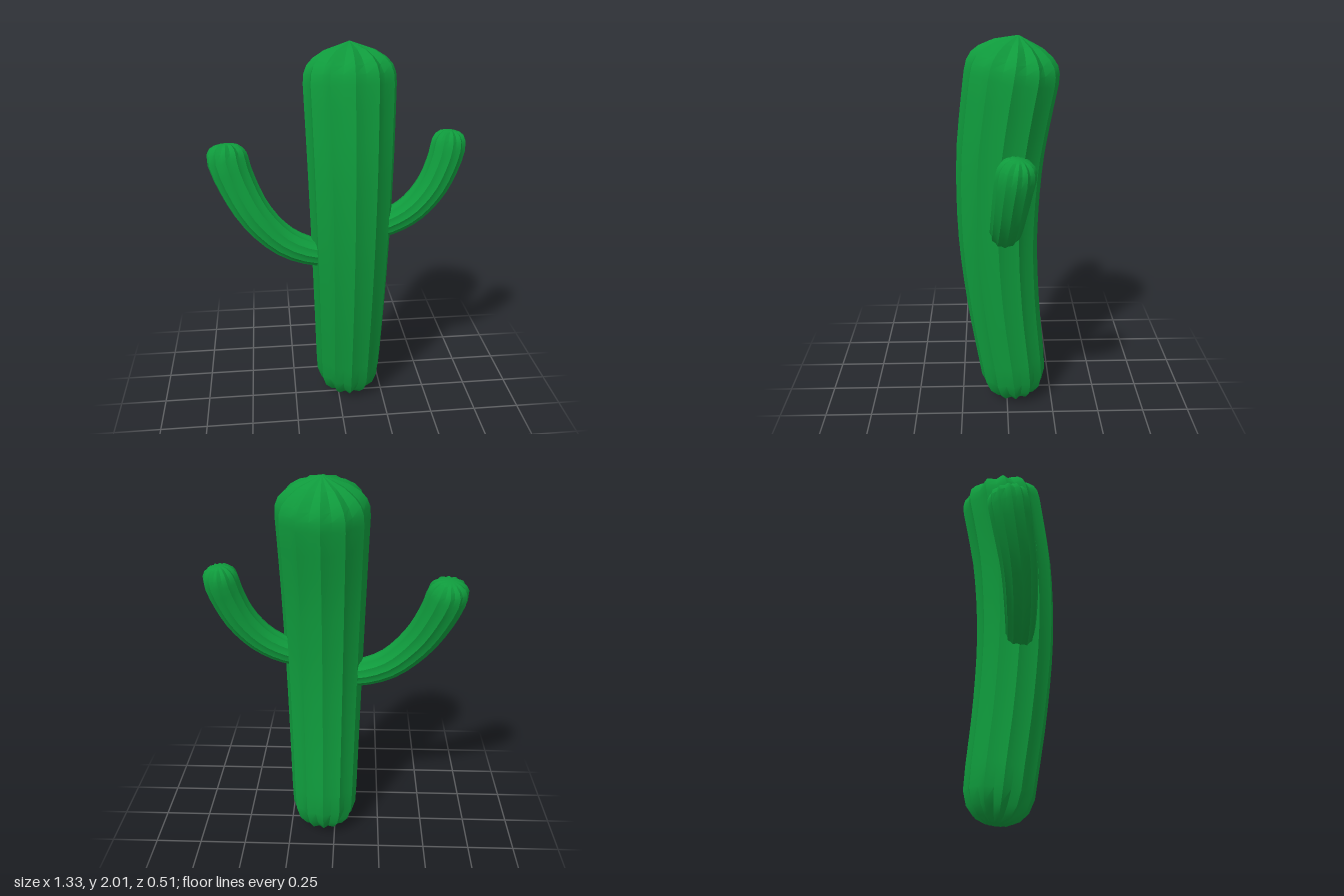
import * as THREE from 'three';
import { toCreasedNormals } from 'three/addons/utils/BufferGeometryUtils.js';

const RIBS = 12;

// Sweeps a ribbed star section along a curve.
// Each station is [fraction of length, ridge radius, groove depth factor].
function ribbedStem(points, stations) {
  const curve = new THREE.CatmullRomCurve3(points.map(p => new THREE.Vector3(...p)));
  const forward = new THREE.Vector3(0, 0, 1);
  const sides = RIBS * 2;
  const positions = [];
  const index = [];
  for (const [u, radius, groove] of stations) {
    const centre = curve.getPointAt(u);
    const tangent = curve.getTangentAt(u);
    const b = new THREE.Vector3().crossVectors(forward, tangent).normalize();
    const n = new THREE.Vector3().crossVectors(b, tangent);
    for (let j = 0; j < sides; j++) {
      const angle = (j / sides) * Math.PI * 2;
      const r = j % 2 ? radius * groove : radius;
      const p = centre.clone()
        .addScaledVector(n, Math.cos(angle) * r)
        .addScaledVector(b, Math.sin(angle) * r);
      positions.push(p.x, p.y, p.z);
    }
  }
  for (let i = 0; i < stations.length - 1; i++) {
    for (let j = 0; j < sides; j++) {
      const k = (j + 1) % sides;
      const a = i * sides + j, c = i * sides + k;
      const d = a + sides, e = c + sides;
      // a pointed end needs only one triangle per side
      if (stations[i][1] > 0) index.push(a, c, e);
      if (stations[i + 1][1] > 0) index.push(a, e, d);
    }
  }
  // points with zero radius close the ends
  if (stations[stations.length - 1][1] === 0) {
    const i = stations.length - 2;
    const kept = index.slice(0, index.length - sides * 3);
    for (let j = 0; j < sides; j++) {
      const k = (j + 1) % sides;
      kept.push(i * sides + j, i * sides + k, (i + 1) * sides + j);
    }
    index.length = 0;
    index.push(...kept);
  }
  const geometry = new THREE.BufferGeometry();
  geometry.setAttribute('position', new THREE.Float32BufferAttribute(positions, 3));
  geometry.setIndex(index);
  return toCreasedNormals(geometry, 0.6);
}

// Arm stations: straight body that widens, then a rounded ribbed tip
function armStations(baseRadius, tipRadius, length) {
  const stations = [[0, 0, 1], [0, baseRadius, 0.91]];
  const bodyEnd = 1 - 0.09 / length;
  const steps = 12;
  for (let i = 1; i <= steps; i++) {
    const t = i / steps;
    stations.push([bodyEnd * t, THREE.MathUtils.lerp(baseRadius, tipRadius, t), 0.91]);
  }
  const cap = [[0.05, 0.95, 0.88], [0.025, 0.8, 0.83], [0.008, 0.55, 0.78], [0.002, 0.3, 0.78], [0, 0, 1]];
  for (const [back, scale, groove] of cap) {
    stations.push([1 - back / length, tipRadius * scale, groove]);
  }
  return stations;
}

export function createModel() {
  const group = new THREE.Group();
  const green = new THREE.MeshStandardMaterial({ color: 0x0f9a3c });
  green.name = 'cactus green';

  const add = (name, geometry) => {
    const mesh = new THREE.Mesh(geometry, green);
    mesh.name = name;
    group.add(mesh);
  };

  // Trunk: bowed forward in the middle, wider towards the top
  const trunkStations = [
    [0, 0, 1], [0, 0.06, 0.8], [0.012, 0.115, 0.78], [0.035, 0.155, 0.82], [0.07, 0.178, 0.9],
  ];
  for (let i = 1; i <= 14; i++) {
    const t = i / 14;
    trunkStations.push([0.07 + 0.83 * t, 0.18 + 0.052 * t, 0.91]);
  }
  trunkStations.push(
    [0.925, 0.228, 0.9], [0.945, 0.212, 0.86], [0.962, 0.18, 0.82], [0.979, 0.125, 0.8], [1, 0, 1],
  );
  add('trunk', ribbedStem([
    [0.06, 0, -0.05], [0.06, 0.2, -0.03], [0.06, 0.6, 0.02], [0.06, 1.0, 0.047],
    [0.06, 1.4, 0.035], [0.06, 1.6, 0.01], [0.06, 1.8, -0.022], [0.06, 2, -0.055],
  ], trunkStations));

  // Arms: curve out of the trunk and turn upwards
  add('rightArm', ribbedStem([
    [-0.04, 0.92, 0.05], [-0.15, 0.935, 0.045], [-0.29, 0.995, 0.03], [-0.43, 1.135, 0.005],
    [-0.52, 1.3, -0.035], [-0.56, 1.42, -0.062], [-0.565, 1.5, -0.08],
  ], armStations(0.07, 0.106, 0.86)));

  add('leftArm', ribbedStem([
    [0.16, 1.045, 0.02], [0.28, 1.08, 0.017], [0.39, 1.145, 0.012], [0.49, 1.26, 0],
    [0.55, 1.39, -0.015], [0.572, 1.47, -0.027], [0.58, 1.55, -0.037],
  ], armStations(0.068, 0.092, 0.7)));

  return group;
}
